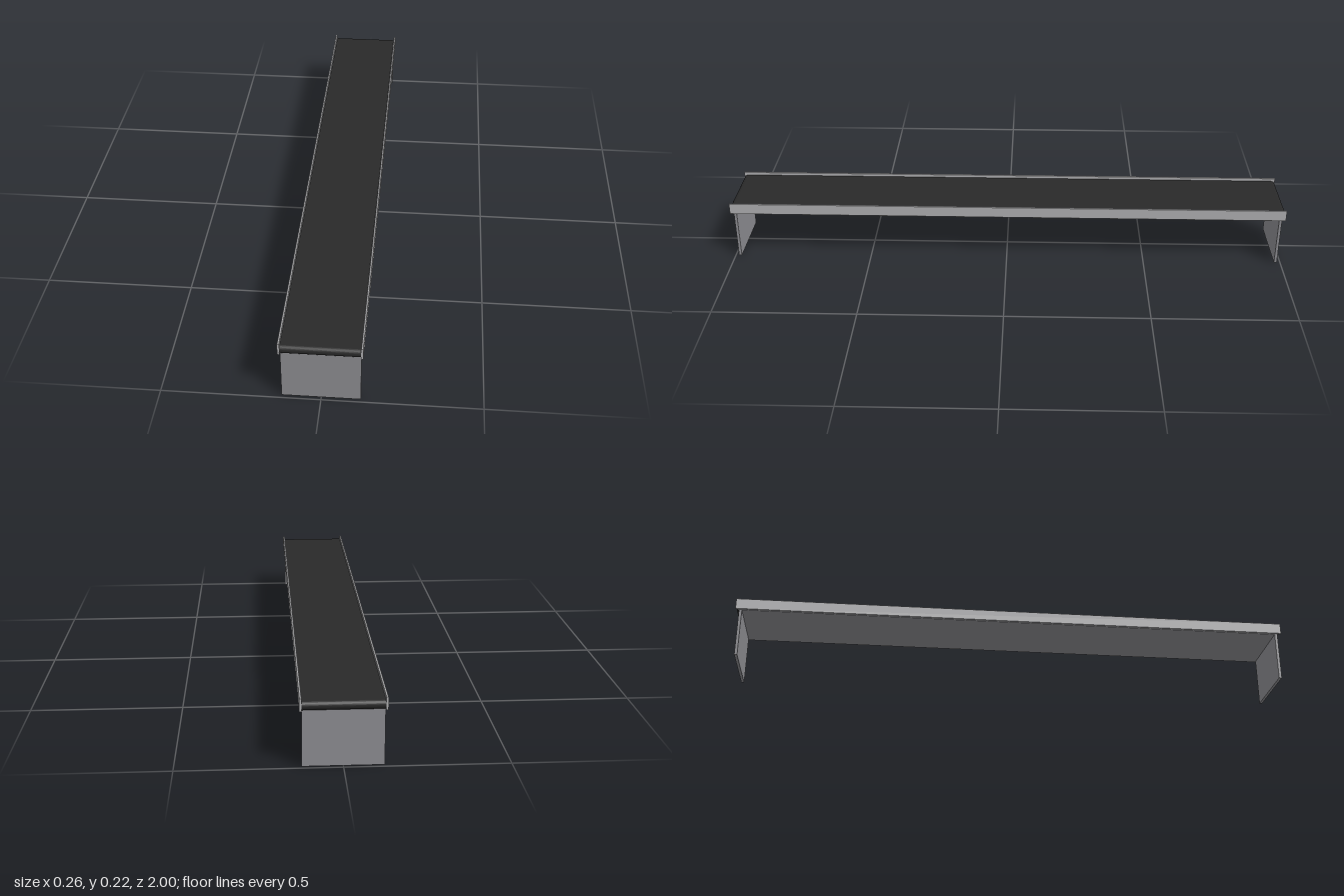
import * as THREE from 'three';

const mat = (name, color) => {
  const m = new THREE.MeshStandardMaterial({ color });
  m.name = name;
  return m;
};

export function createModel() {
  const group = new THREE.Group();
  group.name = 'conveyor';
  const beltBlack = mat('beltBlack', 0x292929);
  const frameGrey = mat('frameGrey', 0x8e8e92);
  const railGrey = mat('railGrey', 0xb0b0b2);

  const add = (name, geometry, material, x = 0, y = 0, z = 0) => {
    const mesh = new THREE.Mesh(geometry, material);
    mesh.name = name;
    mesh.position.set(x, y, z);
    group.add(mesh);
  };

  // Belt: a long loop with rounded ends, extruded across the width
  const r = 0.0145, halfWidth = 0.123, end = 1 - r;
  const loop = new THREE.Shape();
  loop.moveTo(-end, -r);
  loop.lineTo(end, -r);
  loop.absarc(end, 0, r, -Math.PI / 2, Math.PI / 2, false);
  loop.lineTo(-end, r);
  loop.absarc(-end, 0, r, Math.PI / 2, Math.PI * 1.5, false);
  const beltGeometry = new THREE.ExtrudeGeometry(loop, {
    depth: halfWidth * 2, bevelEnabled: false, curveSegments: 10,
  });
  beltGeometry.translate(0, 0, -halfWidth).rotateY(Math.PI / 2);
  add('belt', beltGeometry, beltBlack, 0, 0.1925, 0);

  // Plate closing the underside between the legs
  add('underPlate', new THREE.BoxGeometry(halfWidth * 2, 0.002, 1.97), frameGrey, 0, 0.1775, 0);

  // Full-width sheet legs at both ends
  for (const s of [1, -1]) {
    add(s > 0 ? 'frontLeg' : 'backLeg',
      new THREE.BoxGeometry(halfWidth * 2, 0.178, 0.01), frameGrey, 0, 0.089, s * 0.983);
  }

  // Side rails with softened edges, running the whole length
  const a = 0.0035, b = 0.0202, c = 0.001;
  const section = new THREE.Shape([
    [-a + c, -b], [a - c, -b], [a, -b + c], [a, b - c],
    [a - c, b], [-a + c, b], [-a, b - c], [-a, -b + c],
  ].map(([x, y]) => new THREE.Vector2(x, y)));
  const railGeometry = new THREE.ExtrudeGeometry(section, { depth: 2, bevelEnabled: false });
  railGeometry.translate(0, 0, -1);
  for (const s of [1, -1]) {
    add(s > 0 ? 'leftRail' : 'rightRail', railGeometry, railGrey, s * 0.1265, 0.1978, 0);
  }

  return group;
}
